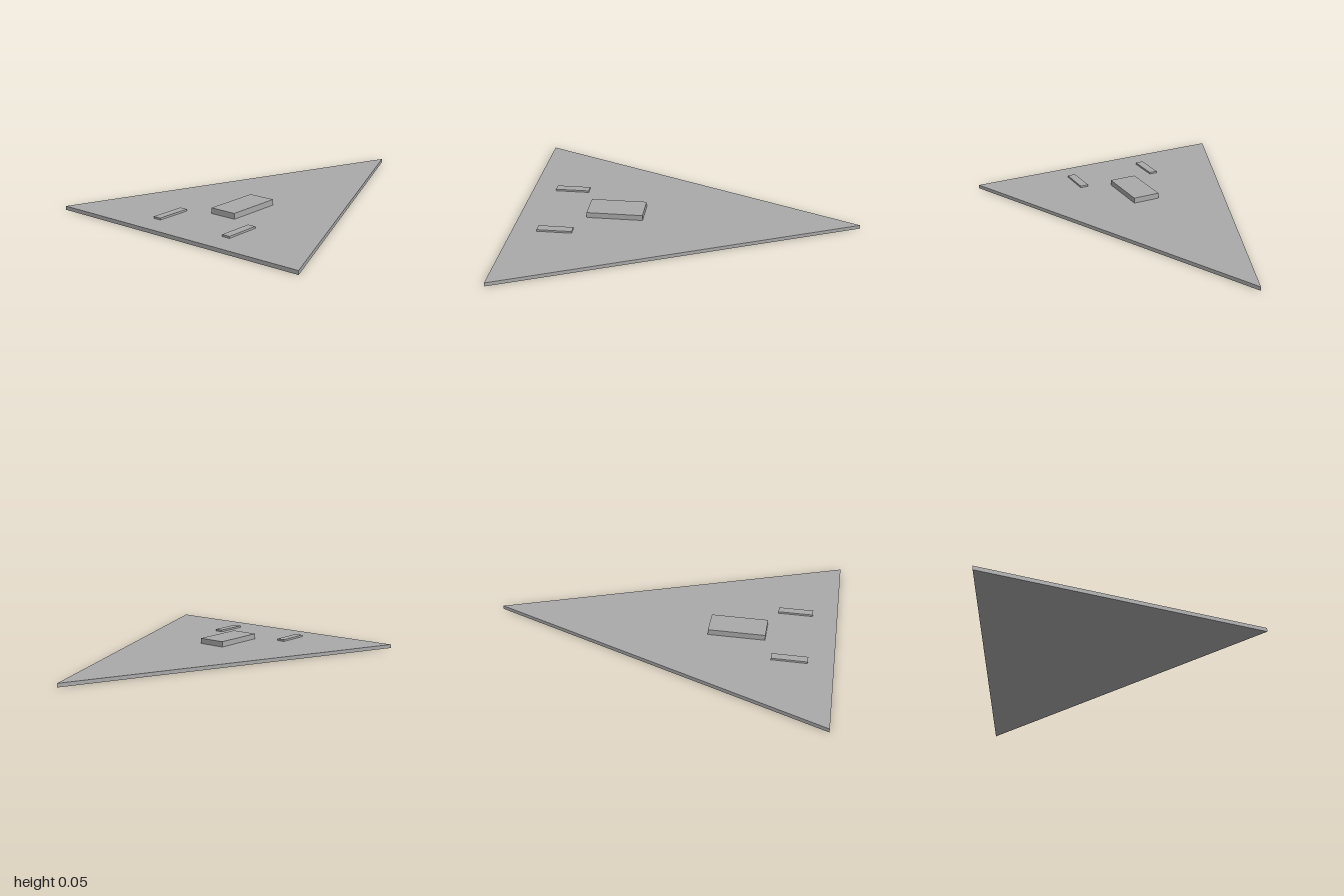
import * as THREE from 'three';

export function createModel() {
  const model = new THREE.Group();
  const grey = new THREE.MeshStandardMaterial({ color: 0xaaaaaa });
  grey.name = 'hull grey';

  const hullTop = 0.022;

  const add = (name, geometry, x = 0, y = 0, z = 0) => {
    const mesh = new THREE.Mesh(geometry, grey);
    mesh.name = name;
    mesh.position.set(x, y, z);
    model.add(mesh);
  };

  // Block resting on the hull, from x0 to x1
  const addBlock = (name, x0, x1, top, depth, z) => {
    const height = top - hullTop;
    add(name, new THREE.BoxGeometry(x1 - x0, height, depth), (x0 + x1) / 2, hullTop + height / 2, z);
  };

  // Flat triangular hull with its nose toward +x
  const outline = new THREE.Shape([
    new THREE.Vector2(-1, -0.825),
    new THREE.Vector2(1, 0),
    new THREE.Vector2(-1, 0.825),
  ]);
  const hull = new THREE.ExtrudeGeometry(outline, { depth: hullTop, bevelEnabled: false });
  hull.rotateX(-Math.PI / 2);
  add('hull', hull);

  // Raised block on the centre line
  addBlock('centreBlock', -0.6, -0.267, 0.055, 0.167, 0);

  // Pair of low rear strips
  for (const [name, side] of [['frontStrip', 1], ['backStrip', -1]]) {
    addBlock(name, -0.855, -0.65, 0.033, 0.05, side * 0.247);
  }

  return model;
}
